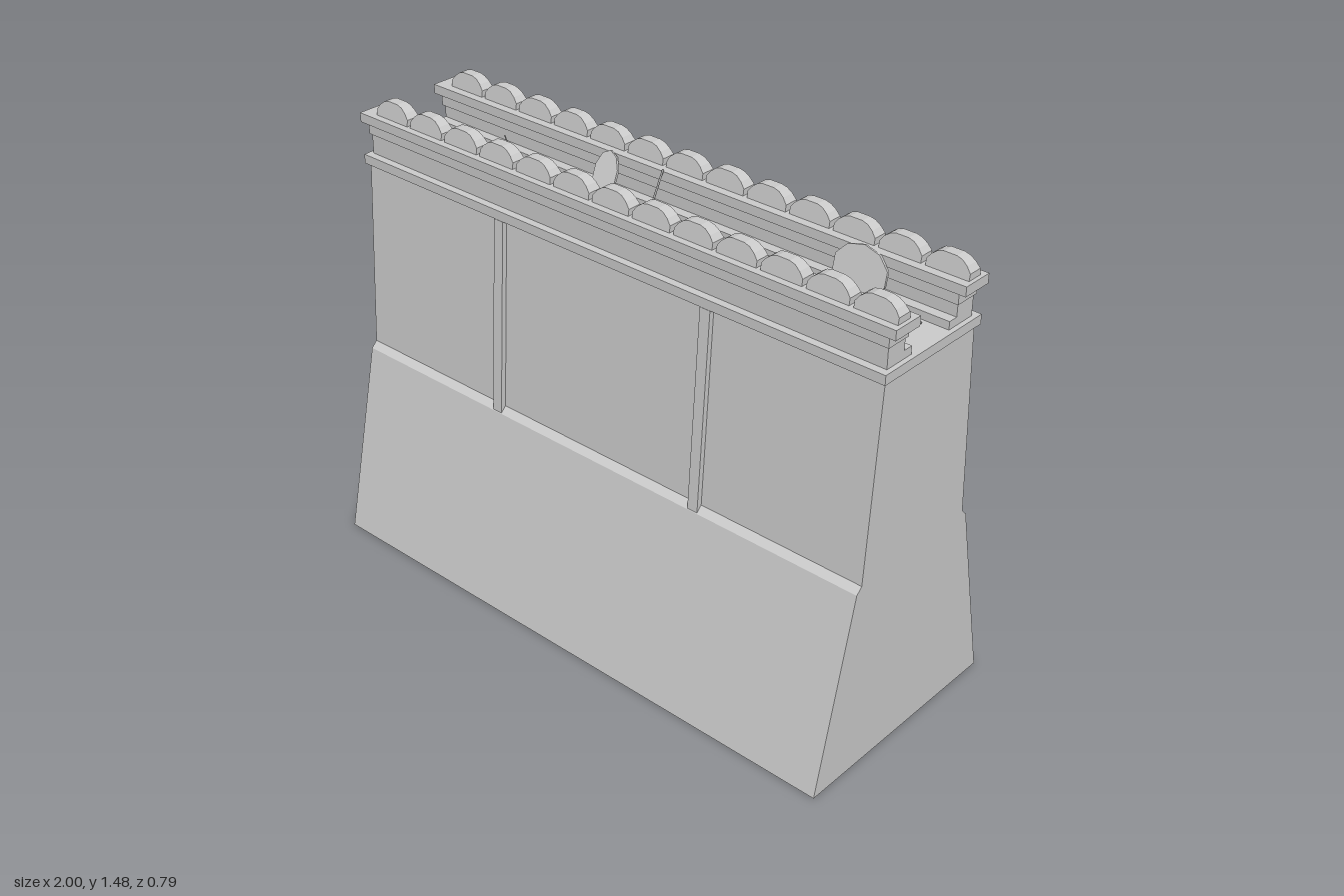
import * as THREE from 'three';

const stone = new THREE.MeshStandardMaterial({ color: 0xcccccc });
stone.name = 'grey stone';

export function createModel() {
  const model = new THREE.Group();
  model.name = 'fortressWall';

  const add = (geometry, name) => {
    const mesh = new THREE.Mesh(geometry, stone);
    mesh.name = name;
    model.add(mesh);
    return mesh;
  };

  // Sweeps a [z, y] cross-section along x
  const prism = (points, x0, x1, name) => {
    const shape = new THREE.Shape(points.map(([z, y]) => new THREE.Vector2(-z, y)));
    const geo = new THREE.ExtrudeGeometry(shape, { depth: x1 - x0, bevelEnabled: false });
    geo.rotateY(Math.PI / 2).translate(x0, 0, 0);
    return add(geo, name);
  };

  const box = (x, y0, y1, z0, z1, name) => prism([[z0, y0], [z1, y0], [z1, y1], [z0, y1]], -x, x, name);

  // Straight pole between two points
  const pole = (from, to, r, name) => {
    const a = new THREE.Vector3(...from), b = new THREE.Vector3(...to);
    const mesh = add(new THREE.CylinderGeometry(r, r, a.distanceTo(b), 6), name);
    mesh.position.copy(a).lerp(b, 0.5);
    mesh.quaternion.setFromUnitVectors(new THREE.Vector3(0, 1, 0), b.sub(a).normalize());
  };

  // Battered wall with a sloped ledge
  prism([
    [0.395, 0], [0.255, 0.625], [0.235, 0.645], [0.197, 1.26],
    [-0.197, 1.26], [-0.235, 0.645], [-0.255, 0.625], [-0.395, 0],
  ], -0.975, 0.975, 'wallBody');
  box(0.985, 1.26, 1.29, -0.212, 0.212, 'walkwaySlab');

  // Rounded coping stone, thinner toward its top
  const outline = [[-0.068, 0], [-0.068, 0.02], [-0.055, 0.037], [-0.038, 0.05], [-0.02, 0.055],
    [0.02, 0.055], [0.038, 0.05], [0.055, 0.037], [0.068, 0.02], [0.068, 0]];
  const copingGeo = new THREE.ExtrudeGeometry(
    new THREE.Shape(outline.map(p => new THREE.Vector2(...p))), { depth: 0.052, bevelEnabled: false });
  copingGeo.translate(0, 0, -0.026);
  const pos = copingGeo.attributes.position;
  for (let i = 0; i < pos.count; i++) pos.setZ(i, pos.getZ(i) * (1 - 6 * pos.getY(i)));
  copingGeo.computeVertexNormals();

  for (const s of [1, -1]) {
    const side = s > 0 ? 'front' : 'back';

    // Stepped parapet
    const band = (x, y0, y1, z0, z1, name) =>
      box(x, y0, y1, Math.min(s * z0, s * z1), Math.max(s * z0, s * z1), side + name);
    band(0.97, 1.29, 1.315, 0.083, 0.187, 'ParapetFoot');
    band(0.97, 1.315, 1.355, 0.115, 0.187, 'ParapetNeck');
    band(0.975, 1.355, 1.39, 0.108, 0.193, 'ParapetBand');
    band(1, 1.39, 1.42, 0.1, 0.203, 'ParapetCap');

    // Coping stones
    for (let i = 0; i < 13; i++) {
      add(copingGeo, side + 'CopingStone').position.set(-0.88 + i * 0.15, 1.42, s * 0.154);
    }

    // Wall ribs
    for (const x of [-0.395, 0.395]) {
      prism([[s * 0.253, 0.627], [s * 0.213, 1.26], [s * 0.18, 1.26], [s * 0.22, 0.627]],
        x - 0.018, x + 0.018, side + 'Rib');
    }
  }

  // Shields leaning on the parapets: x, half width, foot z, head z
  for (const [x, w, z0, z1] of [[0.13, 0.09, 0.065, 0.1], [0.68, 0.09, -0.07, -0.1], [-0.23, 0.045, -0.04, -0.095]]) {
    const geo = new THREE.CylinderGeometry(1, 1, 0.008, 10).rotateX(Math.PI / 2).scale(w, 0.072, 1);
    const shield = add(geo, 'shield');
    shield.position.set(x, 1.362, (z0 + z1) / 2);
    shield.rotation.x = Math.atan2(z1 - z0, 0.14);
  }

  // Leaning and fallen spears
  pole([-0.46, 1.292, 0.045], [-0.46, 1.475, 0.112], 0.002, 'leaningSpear');
  pole([-0.41, 1.292, 0.1], [-0.395, 1.41, 0.07], 0.002, 'leaningSpear');
  pole([-0.03, 1.292, -0.025], [-0.03, 1.43, -0.095], 0.003, 'leaningSpear');
  pole([-0.455, 1.295, -0.02], [-0.31, 1.295, 0.05], 0.003, 'fallenSpear');
  pole([0.75, 1.295, -0.015], [0.9, 1.295, -0.06], 0.003, 'fallenSpear');

  // Fallen bow
  const bow = new THREE.QuadraticBezierCurve3(
    new THREE.Vector3(0.51, 1.295, 0.06), new THREE.Vector3(0.58, 1.295, 0.045), new THREE.Vector3(0.59, 1.295, -0.03));
  add(new THREE.TubeGeometry(bow, 10, 0.002, 5), 'fallenBow');

  return model;
}
